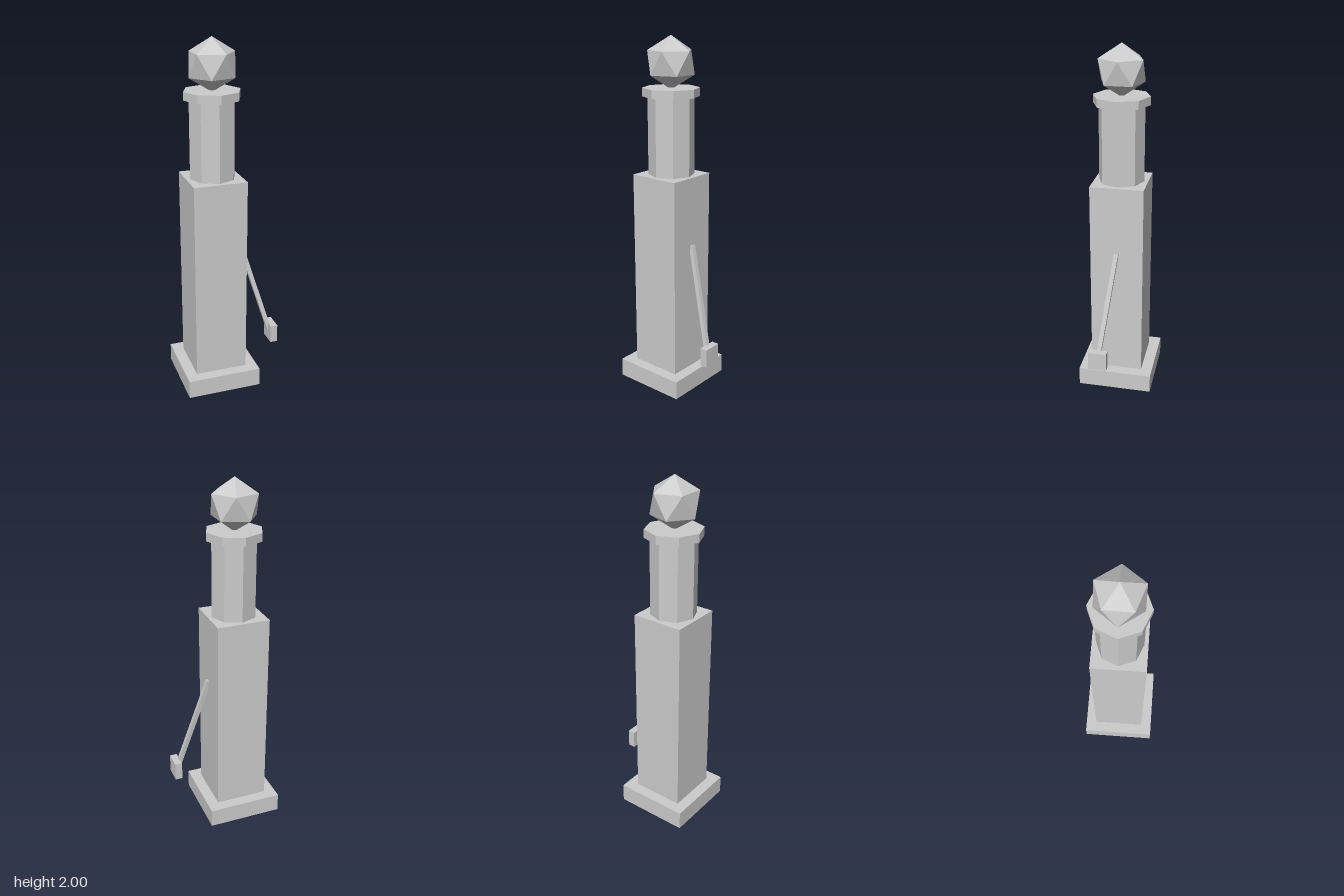
import * as THREE from 'three';

export function createModel() {
  const model = new THREE.Group();
  const stone = new THREE.MeshStandardMaterial({ color: 0xcccccc, flatShading: true });
  stone.name = 'light grey stone';

  const add = (name, geometry, x, y, z, parent = model) => {
    const mesh = new THREE.Mesh(geometry, stone);
    mesh.name = name;
    mesh.position.set(x, y, z);
    parent.add(mesh);
    return mesh;
  };

  // Tower, standing off centre because of the lever on the left
  const tower = new THREE.Group();
  tower.name = 'tower';
  tower.position.x = -0.073;
  model.add(tower);

  const stack = (name, geometry, bottom, height) =>
    add(name, geometry, 0, bottom + height / 2, 0, tower);
  stack('basePlinth', new THREE.BoxGeometry(0.428, 0.108, 0.428), 0, 0.108);
  stack('squareBody', new THREE.BoxGeometry(0.3, 1.142, 0.3), 0.108, 1.142);
  stack('octagonalColumn', new THREE.CylinderGeometry(0.128, 0.128, 0.43, 8), 1.25, 0.43);
  stack('octagonalCap', new THREE.CylinderGeometry(0.157, 0.157, 0.046, 8), 1.68, 0.046);

  // Faceted finial, balanced on one corner
  const finial = new THREE.IcosahedronGeometry(0.142, 0);
  finial.rotateZ(-Math.atan2(2, 1 + Math.sqrt(5)));
  add('finial', finial, 0, 1.858, 0, tower);

  // Lever arm leaning out from the body to its handle
  const lever = new THREE.Group();
  lever.name = 'lever';
  model.add(lever);
  const top = new THREE.Vector3(0.077, 0.862, 0);
  const end = new THREE.Vector3(0.25, 0.281, 0.071);
  const along = top.clone().sub(end);
  const middle = top.clone().add(end).multiplyScalar(0.5);
  const arm = add('leverArm', new THREE.BoxGeometry(0.025, along.length(), 0.025),
    middle.x, middle.y, middle.z, lever);
  arm.quaternion.setFromUnitVectors(new THREE.Vector3(0, 1, 0), along.normalize());
  add('leverHandle', new THREE.BoxGeometry(0.042, 0.107, 0.105), 0.264, 0.269, 0.0705, lever);

  return model;
}
